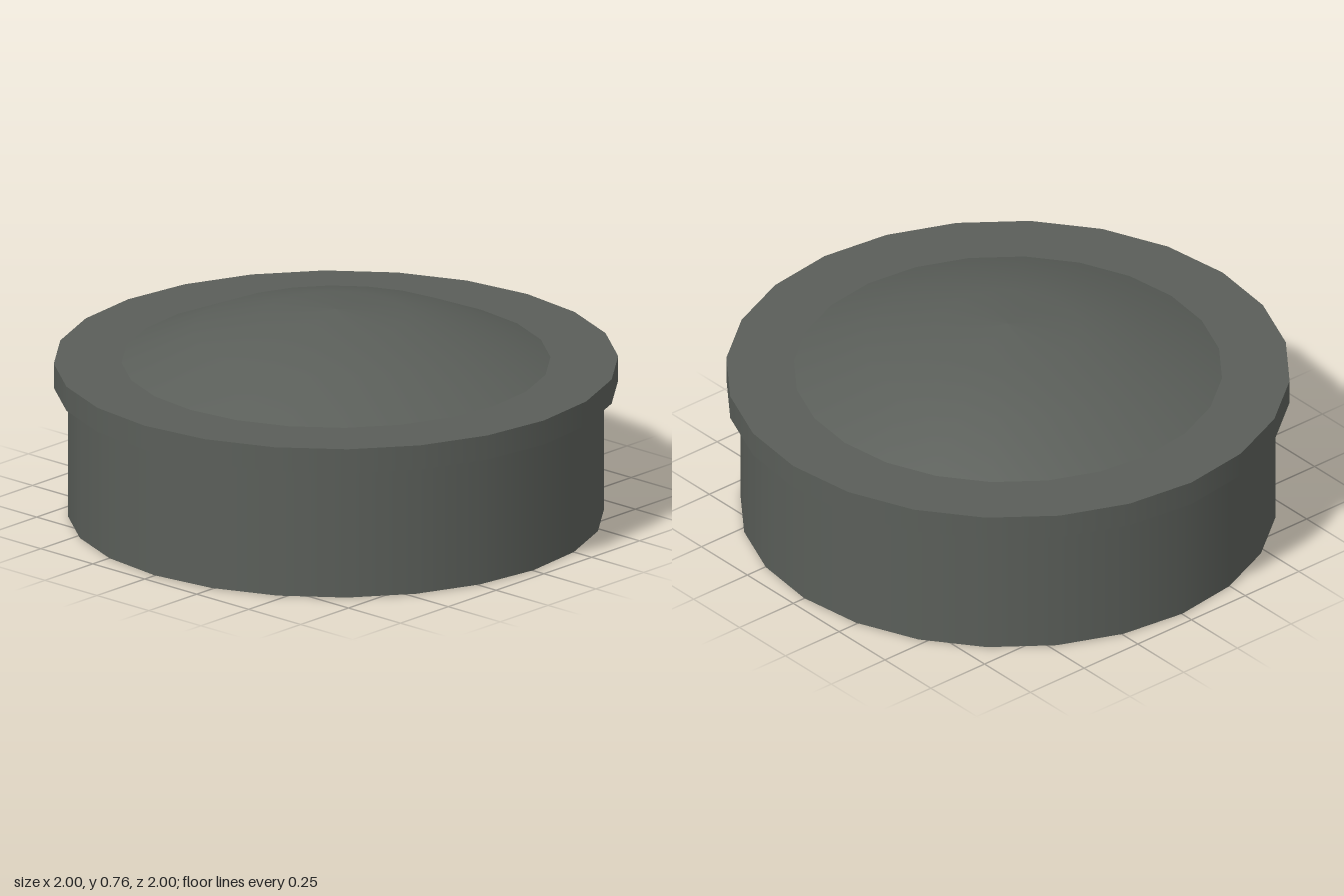
import * as THREE from 'three';

const SIDES = 24;

export function createModel() {
  const model = new THREE.Group();
  const casing = new THREE.MeshStandardMaterial({ name: 'darkGreyCasing', color: 0x5a5e59 });
  const rim = new THREE.MeshStandardMaterial({ name: 'greyBaseRim', color: 0x747673 });

  const add = (name, geometry, material, y = 0) => {
    const mesh = new THREE.Mesh(geometry, material);
    mesh.name = name;
    mesh.position.y = y;
    model.add(mesh);
    return mesh;
  };

  // Drum wall and the wider flange on top of it
  add('drumWall', new THREE.CylinderGeometry(0.95, 0.95, 0.48, SIDES, 1, true), casing, 0.24);
  add('flange', new THREE.CylinderGeometry(1, 1, 0.09, SIDES), casing, 0.525);

  // Shallow spherical dome
  const radius = 1.615, top = 0.76;
  const profile = [0.76, 0.51, 0.26, 0].map(
    (r) => new THREE.Vector2(r, top - radius + Math.sqrt(radius * radius - r * r)));
  add('dome', new THREE.LatheGeometry(profile, SIDES), casing);

  // Underside: flat rim, recess wall facing inward, recess floor
  const down = (geometry) => geometry.rotateX(Math.PI / 2);
  add('baseRim', down(new THREE.RingGeometry(0.76, 0.95, SIDES)), rim);
  const recess = [new THREE.Vector2(0.76, 0.095), new THREE.Vector2(0.76, 0)];
  add('recessWall', new THREE.LatheGeometry(recess, SIDES), casing);
  add('recessFloor', down(new THREE.CircleGeometry(0.76, SIDES)), casing, 0.095);

  // Eight bolt holes around the rim
  for (let i = 0; i < 8; i++) {
    const a = (i + 0.5) * Math.PI / 4;
    const hole = add('boltHole', down(new THREE.CircleGeometry(0.02, 12)), casing, -0.002);
    hole.position.x = 0.86 * Math.cos(a);
    hole.position.z = 0.86 * Math.sin(a);
  }
  return model;
}
